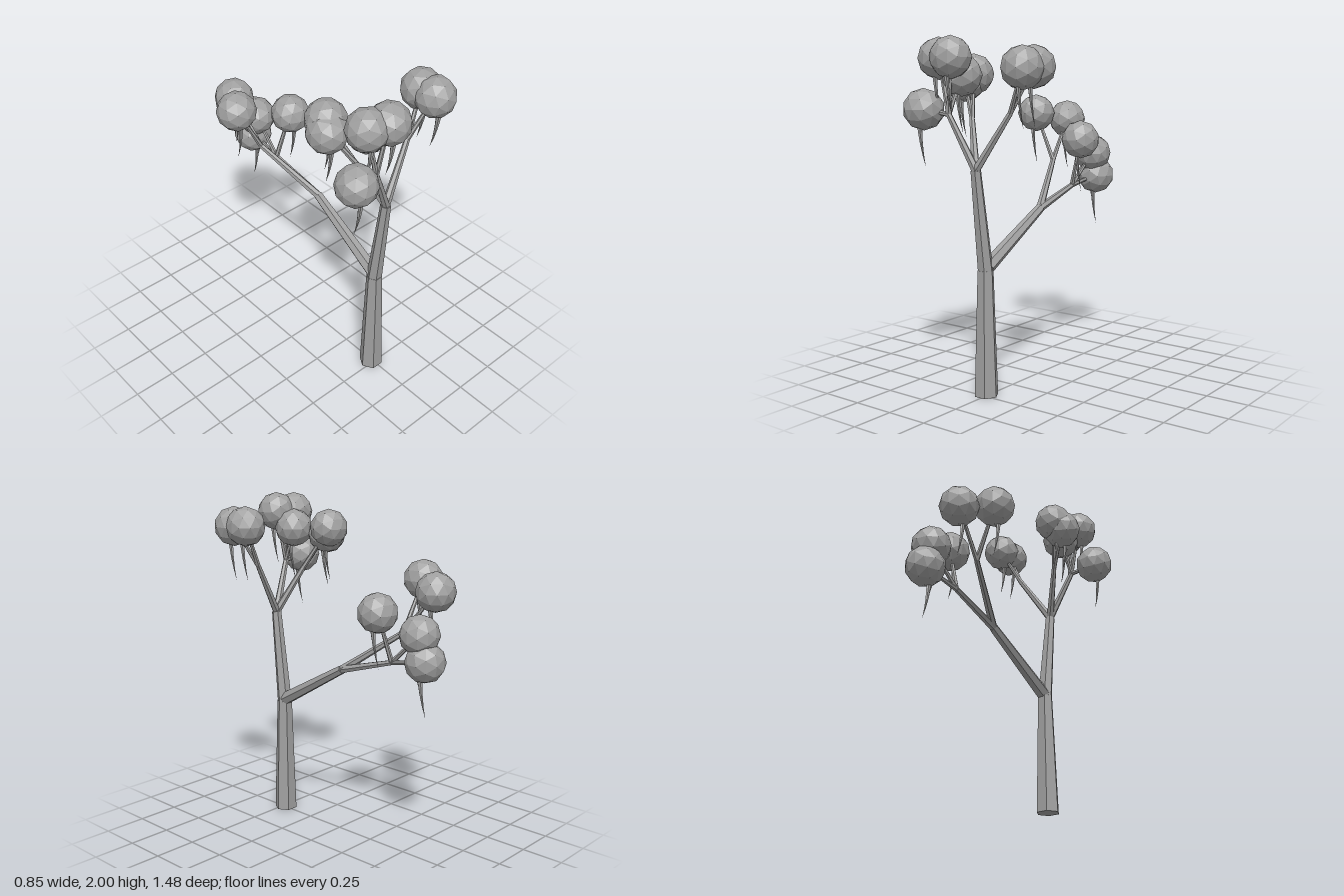
import * as THREE from 'three';

const UP = new THREE.Vector3(0, 1, 0);

export function createModel() {
  const tree = new THREE.Group();
  tree.name = 'tree';
  const grey = new THREE.MeshStandardMaterial({ color: 0xa0a0a0 });
  grey.name = 'grey';

  const add = (geometry, name, position) => {
    const flat = geometry.index ? geometry.toNonIndexed() : geometry;
    flat.computeVertexNormals(); // faceted look
    const mesh = new THREE.Mesh(flat, grey);
    mesh.name = name;
    mesh.position.copy(position);
    tree.add(mesh);
    return mesh;
  };

  // Tapered six-sided limb between two points
  const limb = (name, from, to, r0, r1) => {
    const a = new THREE.Vector3(...from);
    const b = new THREE.Vector3(...to);
    const dir = b.clone().sub(a);
    const length = dir.length();
    const geometry = new THREE.CylinderGeometry(r1, r0, length, 6);
    geometry.rotateY(Math.PI / 6);
    geometry.translate(0, length / 2, 0);
    add(geometry, name, a).quaternion.setFromUnitVectors(UP, dir.normalize());
  };

  // Flattened hanging pod, curving towards the back at its tip
  const podLength = 0.27;
  const pod = new THREE.ConeGeometry(0.023, podLength, 6, 4);
  pod.rotateX(Math.PI);
  const p = pod.attributes.position;
  for (let i = 0; i < p.count; i++) {
    const t = 0.5 - p.getY(i) / podLength;
    p.setXYZ(i, p.getX(i) * 0.5, -t * podLength, p.getZ(i) + 0.035 - 0.045 * t * t);
  }

  // Trunk and main limbs
  const trunkTop = [-0.008, 0.72, 0.478];
  const crownFork = [-0.015, 1.28, 0.545];
  const backFork = [0, 1.01, -0.02];
  limb('trunk', [-0.007, 0, 0.48], trunkTop, 0.07, 0.047);
  limb('upperTrunk', trunkTop, crownFork, 0.045, 0.03);
  limb('backLimb', [-0.005, 0.735, 0.465], backFork, 0.042, 0.028);

  // Each branch: fork it grows from, its tip, and the leaf balls it carries
  const branches = [
    [backFork, [-0.15, 1.26, -0.36], [[-0.295, 1.55, -0.38], [-0.18, 1.51, -0.555]]],
    [backFork, [-0.02, 1.11, -0.38], [[0.065, 1.4, -0.345], [-0.005, 1.3, -0.585], [-0.005, 1.155, -0.627]]],
    [crownFork, [0.18, 1.59, 0.49], [[0.307, 1.83, 0.55], [0.307, 1.835, 0.45]]],
    [crownFork, [-0.155, 1.58, 0.6], [[-0.315, 1.605, 0.625], [-0.225, 1.88, 0.595], [-0.11, 1.885, 0.63], [-0.14, 1.79, 0.51]]],
    [crownFork, [-0.135, 1.55, 0.43], [[-0.23, 1.795, 0.3], [-0.26, 1.755, 0.345]]],
  ];
  let turn = 0;
  for (const [fork, tip, balls] of branches) {
    limb('branch', fork, tip, 0.024, 0.016);
    for (const center of balls) {
      limb('twig', tip, center, 0.015, 0.009);
      const ball = new THREE.IcosahedronGeometry(0.116, 1);
      ball.rotateY(turn++ * 0.7);
      const at = new THREE.Vector3(...center);
      add(ball, 'leafBall', at);
      add(pod, 'hangingPod', at.clone().add(new THREE.Vector3(0, -0.05, 0)));
    }
  }
  return tree;
}
